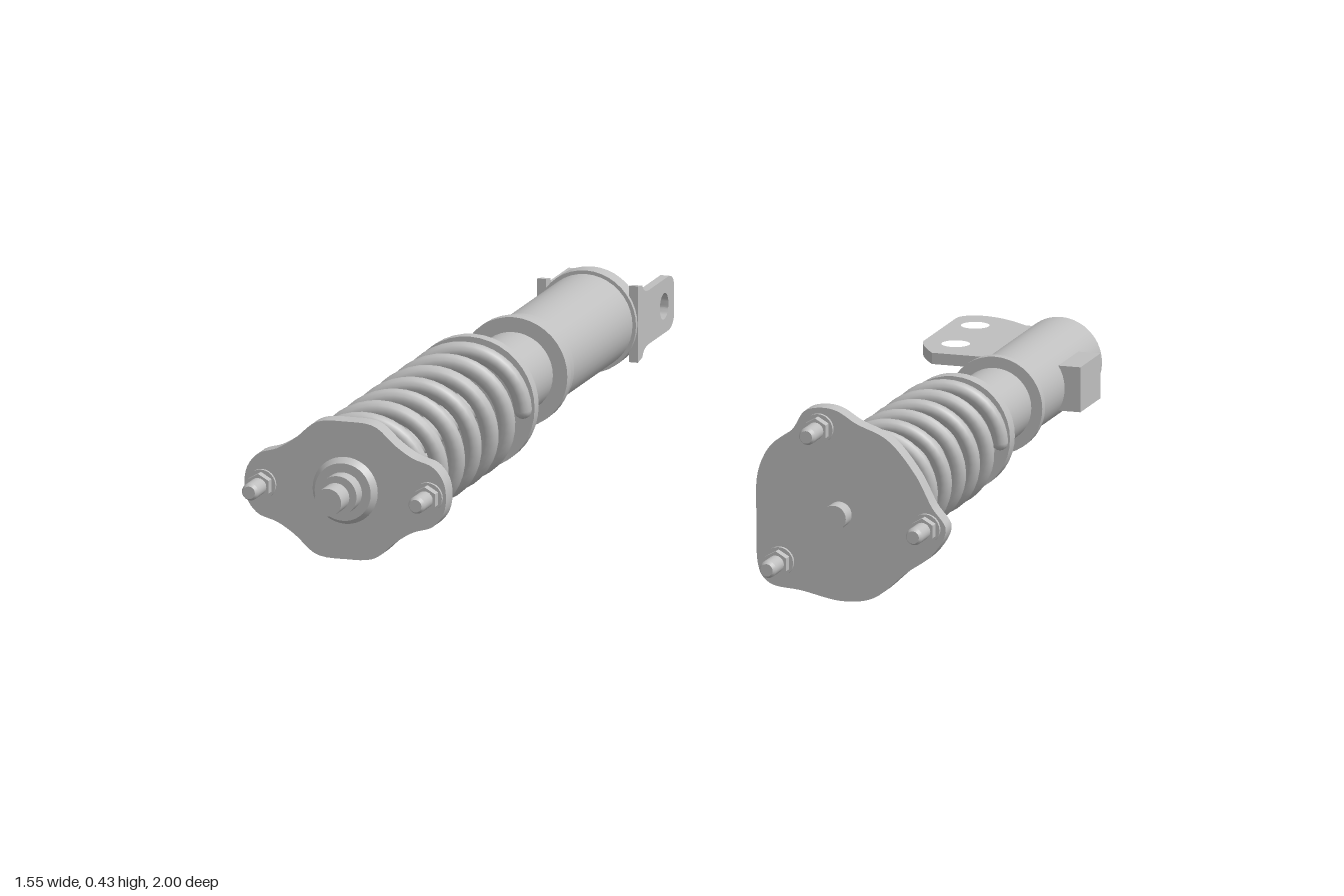
import * as THREE from 'three';
import { toCreasedNormals } from 'three/addons/utils/BufferGeometryUtils.js';

const steel = new THREE.MeshStandardMaterial({ color: 0xbfbfbf });
steel.name = 'steel grey';

function add(parent, name, geometry, x = 0, y = 0, z = 0) {
  const mesh = new THREE.Mesh(geometry, steel);
  mesh.name = name;
  mesh.position.set(x, y, z);
  parent.add(mesh);
  return mesh;
}

// Cylinder or cone along z: radius r0 at z0 to r1 at z1
function rod(parent, name, z0, z1, r0, r1 = r0, x = 0, y = 0, sides = 40) {
  const geometry = new THREE.CylinderGeometry(r1, r0, z1 - z0, sides).rotateX(Math.PI / 2);
  return add(parent, name, geometry, x, y, (z0 + z1) / 2);
}

// Hollow ring along z, from a closed profile
function ring(parent, name, z0, z1, inner, outer) {
  const profile = [[inner, z0], [outer, z0], [outer, z1], [inner, z1], [inner, z0]]
    .map(([r, z]) => new THREE.Vector2(r, z));
  const geometry = toCreasedNormals(new THREE.LatheGeometry(profile, 40), 0.6);
  return add(parent, name, geometry.rotateX(Math.PI / 2));
}

function extrude(shape, depth) {
  const geometry = new THREE.ExtrudeGeometry(shape, { depth, bevelEnabled: false, curveSegments: 20 });
  return toCreasedNormals(geometry, 0.6);
}

function smoothOutline(points) {
  const curve = new THREE.CatmullRomCurve3(points.map(([x, y]) => new THREE.Vector3(x, y, 0)), true);
  return new THREE.Shape(curve.getPoints(96).map((p) => new THREE.Vector2(p.x, p.y)));
}

function hole(shape, x, y, r) {
  shape.holes.push(new THREE.Path().absarc(x, y, r, 0, Math.PI * 2, true));
}

// Helical spring with rounded wire ends
function spring(parent, z0, pitch, turns, radius, wire) {
  const helix = new THREE.Curve();
  helix.getPoint = (t, target = new THREE.Vector3()) => {
    const a = t * turns * Math.PI * 2;
    return target.set(radius * Math.cos(a), radius * Math.sin(a), z0 + pitch * turns * t);
  };
  add(parent, 'coilSpring', new THREE.TubeGeometry(helix, Math.round(turns * 40), wire, 12));
  for (const t of [0, 1]) {
    const p = helix.getPoint(t);
    add(parent, 'springEnd', new THREE.SphereGeometry(wire, 12, 8), p.x, p.y, p.z);
  }
}

// Mounting stud with hex nut and chamfered tip
function stud(parent, x, y, z) {
  rod(parent, 'studWasher', z, z + 0.008, 0.033, 0.033, x, y, 24);
  rod(parent, 'studNut', z + 0.008, z + 0.028, 0.028, 0.028, x, y, 6).geometry =
    toCreasedNormals(new THREE.CylinderGeometry(0.028, 0.028, 0.02, 6).rotateX(Math.PI / 2), 0.6);
  rod(parent, 'studShank', z, z + 0.08, 0.019, 0.019, x, y, 20);
  rod(parent, 'studTip', z + 0.08, z + 0.09, 0.019, 0.014, x, y, 20);
}

function forkStrut() {
  const g = new THREE.Group();
  g.name = 'forkStrut';

  // Fork ears with eye holes
  const ear = new THREE.Shape();
  ear.moveTo(0.755, -0.085);
  ear.lineTo(0.785, -0.08);
  ear.quadraticCurveTo(0.795, -0.06, 0.83, -0.06);
  ear.lineTo(0.965, -0.06);
  ear.quadraticCurveTo(1, -0.055, 1, -0.025);
  ear.lineTo(1, 0.025);
  ear.quadraticCurveTo(1, 0.055, 0.965, 0.06);
  ear.lineTo(0.83, 0.06);
  ear.quadraticCurveTo(0.795, 0.06, 0.785, 0.08);
  ear.lineTo(0.755, 0.085);
  hole(ear, 0.932, 0, 0.029);
  for (const side of [-1, 1]) {
    add(g, 'forkEar', extrude(ear, 0.02).rotateY(Math.PI / 2), side * 0.105 - 0.01);
  }
  ring(g, 'forkCollar', -0.785, -0.745, 0.095, 0.114);

  // Damper body, collars and upper tube
  rod(g, 'damperBody', -0.755, -0.31, 0.106);
  rod(g, 'lowerLockRing', -0.325, -0.29, 0.115);
  rod(g, 'collarGroove', -0.29, -0.28, 0.105);
  rod(g, 'upperLockRing', -0.28, -0.255, 0.123);
  rod(g, 'threadedTube', -0.255, 0, 0.09);
  rod(g, 'seatLockRing', -0.022, 0.012, 0.127);
  rod(g, 'lowerSpringSeat', 0.012, 0.04, 0.148);

  rod(g, 'pistonRod', 0.04, 0.84, 0.034);
  spring(g, 0.06, 0.113, 6.7, 0.128, 0.02);
  rod(g, 'upperSpringSeat', 0.79, 0.84, 0.11);

  // Two-lobed top mount
  const quarter = [[0.226, 0.03], [0.2, 0.066], [0.155, 0.082], [0.115, 0.107], [0.066, 0.147]];
  const flip = (sx, sy) => quarter.map(([x, y]) => [x * sx, y * sy]);
  const outline = smoothOutline([
    ...flip(1, 1), [0, 0.153], ...flip(-1, 1).reverse(),
    ...flip(-1, -1), [0, -0.153], ...flip(1, -1).reverse(),
  ]);
  add(g, 'topMountPlate', extrude(outline, 0.045), 0, 0, 0.836);
  rod(g, 'mountDome', 0.88, 0.898, 0.075, 0.064);
  rod(g, 'centreNut', 0.898, 0.935, 0.044);
  rod(g, 'rodNeck', 0.935, 0.95, 0.022);
  rod(g, 'rodTip', 0.945, 1, 0.031);
  for (const side of [-1, 1]) stud(g, side * 0.19, 0, 0.88);
  return g;
}

function bracketStrut() {
  const g = new THREE.Group();
  g.name = 'bracketStrut';

  // Damper body with flared collar
  rod(g, 'damperBody', -0.75, -0.33, 0.094);
  rod(g, 'collarFlare', -0.34, -0.325, 0.094, 0.108);
  rod(g, 'bodyCollar', -0.325, -0.305, 0.108);
  rod(g, 'threadedTube', -0.305, -0.05, 0.083);
  add(g, 'sideBlock', new THREE.BoxGeometry(0.06, 0.1, 0.135), 0.1, 0, -0.565);

  // Pair of knuckle bracket plates
  const plate = new THREE.Shape();
  plate.moveTo(-0.03, -0.71);
  plate.lineTo(-0.07, -0.715);
  plate.quadraticCurveTo(-0.13, -0.765, -0.18, -0.768);
  plate.quadraticCurveTo(-0.232, -0.765, -0.232, -0.725);
  plate.lineTo(-0.232, -0.51);
  plate.quadraticCurveTo(-0.225, -0.47, -0.18, -0.412);
  plate.lineTo(-0.03, -0.412);
  hole(plate, -0.172, -0.68, 0.031);
  hole(plate, -0.158, -0.507, 0.031);
  for (const y of [0.078, -0.055]) {
    add(g, 'knuckleBracketPlate', extrude(plate, 0.025).rotateX(Math.PI / 2), 0, y);
  }

  // Lower spring seat, spring and rod
  rod(g, 'seatLockRing', -0.08, -0.055, 0.092);
  rod(g, 'lowerSpringSeat', -0.055, -0.022, 0.13);
  rod(g, 'springGuide', -0.022, 0.01, 0.1);
  rod(g, 'pistonRod', -0.02, 0.64, 0.026);
  spring(g, 0.01, 0.095, 6, 0.118, 0.018);
  rod(g, 'upperSpringSeat', 0.586, 0.598, 0.127);
  rod(g, 'mountNeck', 0.598, 0.625, 0.05);
  rod(g, 'mountBoss', 0.62, 0.65, 0.072);
  rod(g, 'mountCone', 0.65, 0.668, 0.075, 0.125);
  rod(g, 'mountRim', 0.668, 0.685, 0.125);

  // Three-lobed top mount
  const outline = smoothOutline([
    [-0.194, 0.075], [-0.197, -0.03], [-0.19, -0.145], [-0.165, -0.172], [-0.095, -0.182],
    [0, -0.199], [0.07, -0.187], [0.145, -0.125], [0.205, -0.08], [0.235, -0.022],
    [0.203, 0.025], [0.165, 0.095], [0.1, 0.168], [0.03, 0.198], [-0.012, 0.222],
    [-0.045, 0.228], [-0.087, 0.218], [-0.116, 0.174], [-0.165, 0.136],
  ]);
  add(g, 'topMountPlate', extrude(outline, 0.04), 0, 0, 0.682);
  rod(g, 'rodNeck', 0.72, 0.75, 0.017);
  rod(g, 'rodTip', 0.745, 0.785, 0.028);
  for (const [x, y] of [[-0.054, 0.182], [0.19, -0.022], [-0.144, -0.121]]) stud(g, x, y, 0.722);
  return g;
}

export function createModel() {
  const model = new THREE.Group();
  model.name = 'coiloverPair';
  const rear = forkStrut();
  rear.position.set(-0.545, 0.2, 0);
  const front = bracketStrut();
  front.position.set(0.537, 0.2, 0);
  model.add(rear, front);
  return model;
}
